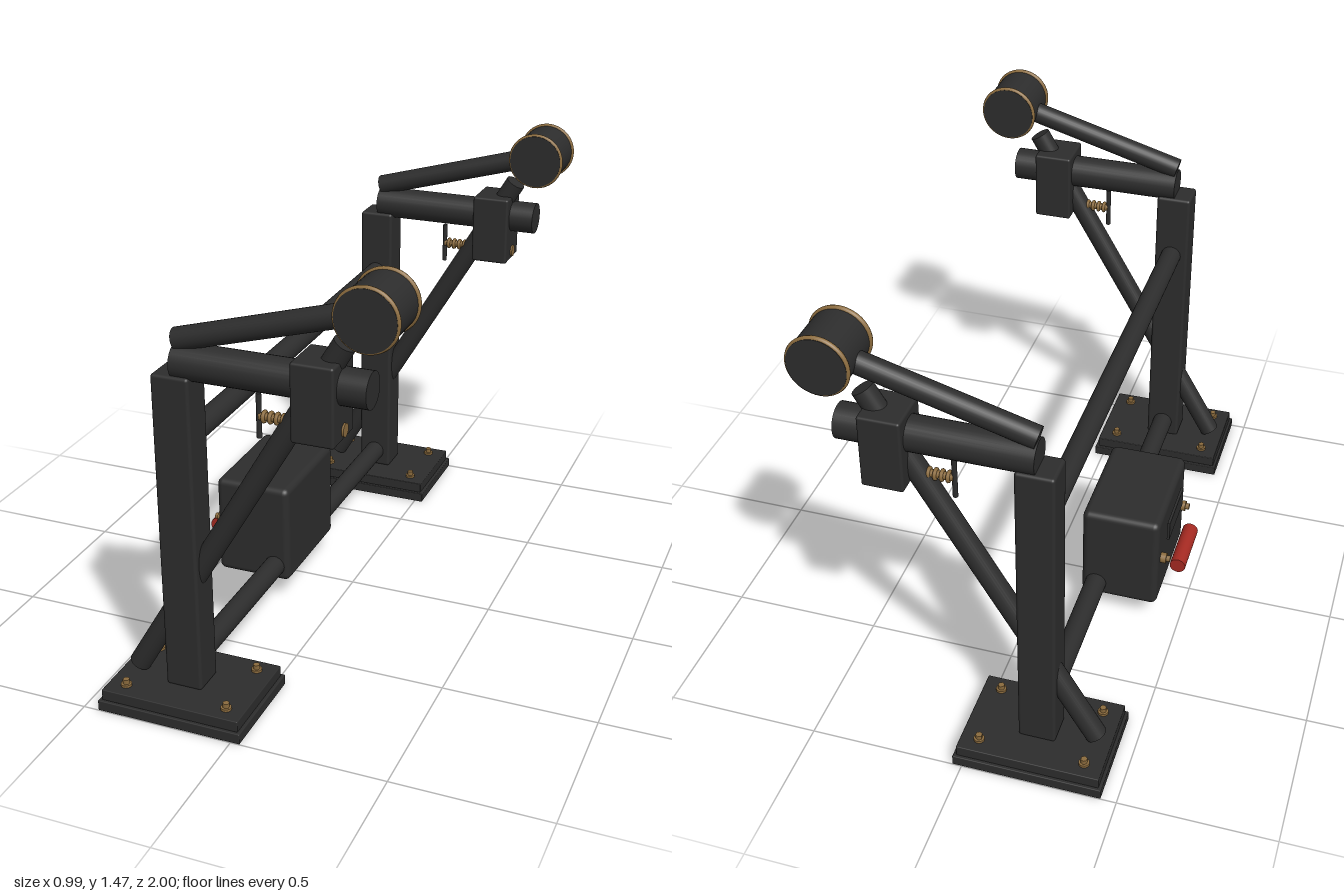
import * as THREE from 'three';
import { RoundedBoxGeometry } from 'three/addons/geometries/RoundedBoxGeometry.js';

const material = (name, color) => {
  const m = new THREE.MeshStandardMaterial({ color });
  m.name = name;
  return m;
};

export function createModel() {
  const steel = material('dark steel', 0x2d2d2d);
  const bronze = material('bronze', 0x8c6c3e);
  const red = material('red grip', 0xa62a22);

  const add = (parent, name, geometry, mat, x = 0, y = 0, z = 0) => {
    const mesh = new THREE.Mesh(geometry, mat);
    mesh.name = name;
    mesh.position.set(x, y, z);
    parent.add(mesh);
    return mesh;
  };
  const block = (parent, name, size, pos, bevel = 0.006) =>
    add(parent, name, new RoundedBoxGeometry(...size, 3, bevel), steel, ...pos);

  // Round bar between two points
  const bar = (parent, name, from, to, radius, mat = steel, sides = 28) => {
    const a = new THREE.Vector3(...from), b = new THREE.Vector3(...to);
    const dir = b.clone().sub(a);
    const mesh = add(parent, name, new THREE.CylinderGeometry(radius, radius, dir.length(), sides), mat);
    mesh.position.copy(a).add(b).multiplyScalar(0.5);
    mesh.quaternion.setFromUnitVectors(new THREE.Vector3(0, 1, 0), dir.normalize());
    return mesh;
  };

  const model = new THREE.Group();
  model.name = 'rack';

  // Two identical uprights
  for (const side of [-1, 1]) {
    const stand = new THREE.Group();
    stand.name = side > 0 ? 'frontStand' : 'backStand';
    stand.position.z = side * 0.83;
    model.add(stand);

    // Stepped foot with four bolts
    block(stand, 'footPlate', [0.48, 0.035, 0.34], [-0.21, 0.0175, 0], 0.003);
    block(stand, 'footUpperPlate', [0.46, 0.037, 0.32], [-0.21, 0.0525, 0], 0.003);
    for (const x of [-0.38, -0.04]) for (const z of [-0.11, 0.11]) {
      bar(stand, 'footWasher', [x, 0.07, z], [x, 0.079, z], 0.017, bronze, 20);
      bar(stand, 'footBolt', [x, 0.079, z], [x, 0.094, z], 0.011, bronze, 6);
    }

    // Post, diagonal brace and the two arms
    block(stand, 'post', [0.12, 1.04, 0.11], [-0.21, 0.59, 0], 0.01);
    bar(stand, 'brace', [-0.388, 0.09, 0], [0.305, 1.268, 0], 0.035);
    bar(stand, 'lowerArm', [-0.21, 1.142, 0], [0.385, 1.142, 0], 0.055);
    bar(stand, 'upperArm', [-0.208, 1.205, 0], [0.395, 1.375, 0], 0.035);

    // Roller with bronze rims
    bar(stand, 'roller', [0.395, 1.375, -0.09], [0.395, 1.375, 0.09], 0.09, steel, 48);
    for (const z of [-0.08, 0.08])
      add(stand, 'rollerRim', new THREE.TorusGeometry(0.088, 0.009, 10, 48), bronze, 0.395, 1.375, z);

    // Clamp block with its threaded screw and T handle
    block(stand, 'clampBlock', [0.13, 0.24, 0.152], [0.235, 1.1, 0], 0.008);
    bar(stand, 'clampScrew', [0.045, 1.01, 0], [0.305, 1.01, 0], 0.012, bronze, 20);
    bar(stand, 'clampScrewEnd', [0.295, 1.01, 0], [0.306, 1.01, 0], 0.02, bronze, 20);
    for (let i = 0; i < 6; i++) {
      const thread = add(stand, 'screwThread', new THREE.TorusGeometry(0.014, 0.006, 8, 20), bronze, 0.06 + i * 0.02, 1.01, 0);
      thread.rotation.y = Math.PI / 2;
    }
    bar(stand, 'clampHandle', [0.043, 0.942, 0], [0.043, 1.08, 0], 0.008, steel, 16);
  }

  // Cross bars joining the uprights
  for (const [name, y] of [['upperCrossBar', 0.88], ['lowerCrossBar', 0.13]])
    bar(model, name, [-0.21, y, -0.79], [-0.21, y, 0.79], 0.036);

  // Control box with panel, bolts and red grip
  block(model, 'controlBox', [0.265, 0.35, 0.4], [-0.29, 0.25, 0], 0.022);
  add(model, 'controlPanel', new THREE.BoxGeometry(0.009, 0.07, 0.2), steel, -0.434, 0.33, 0);
  for (const z of [-0.145, 0.145]) {
    bar(model, 'panelWasher', [-0.42, 0.25, z], [-0.442, 0.25, z], 0.018, bronze, 20);
    bar(model, 'panelBolt', [-0.442, 0.25, z], [-0.455, 0.25, z], 0.011, bronze, 6);
  }
  bar(model, 'redGrip', [-0.472, 0.185, -0.1], [-0.472, 0.185, 0.1], 0.027, red);

  return model;
}
